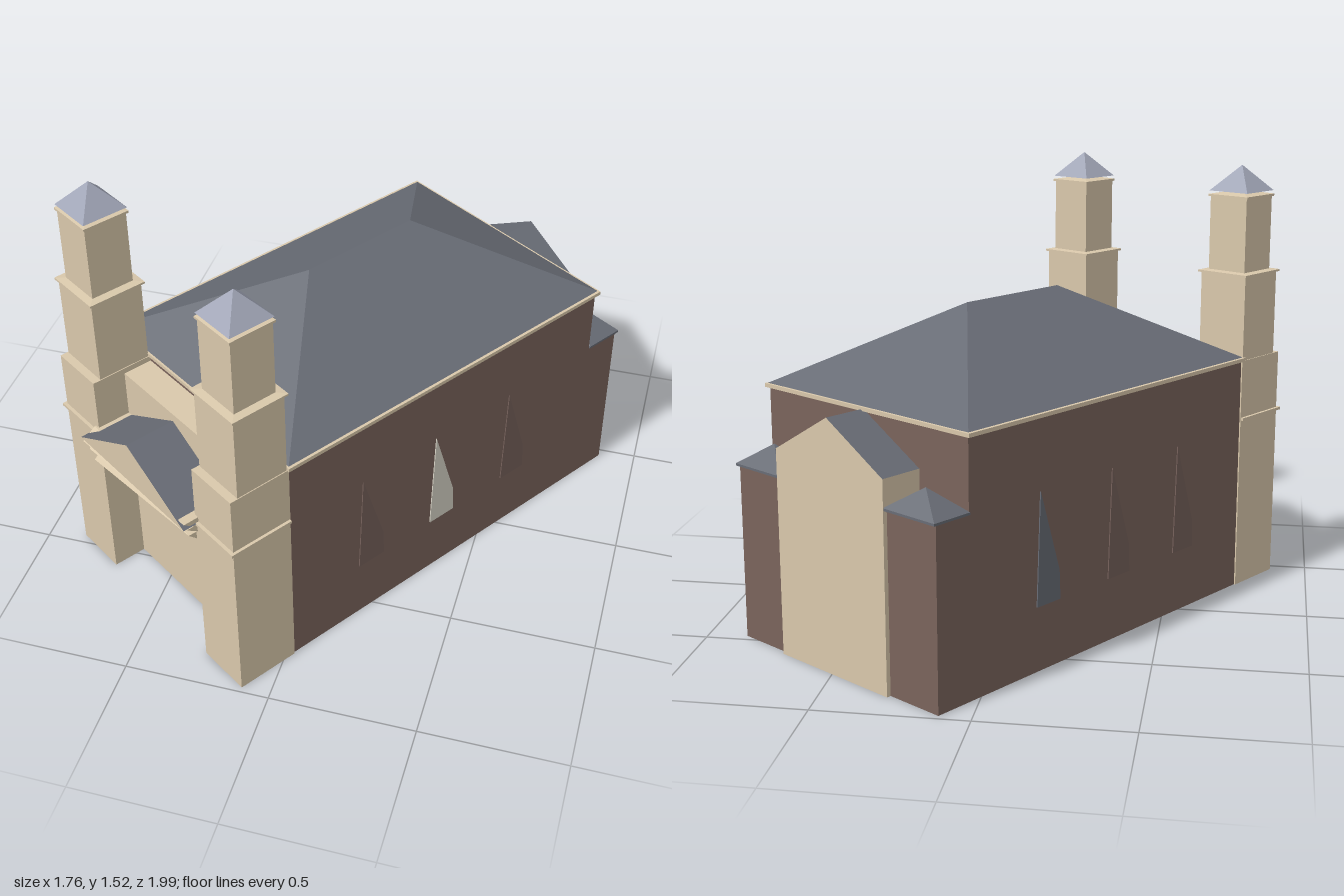
import * as THREE from 'three';

const mat = (name, color) => {
  const m = new THREE.MeshStandardMaterial({ color, flatShading: true });
  m.name = name;
  return m;
};

export function createModel() {
  const stone = mat('pale stone', 0xd9c8ab);
  const brick = mat('brown brick', 0x7a645c);
  const slate = mat('slate', 0x686c75);
  const spireMat = mat('spire metal', 0xa0a5b6);
  const glass = mat('pale glass', 0xd6d2c5);
  const dimGlass = mat('brown glass', 0x75605a);

  // The building stands turned on its plot: local z points to its facade
  const church = new THREE.Group();
  church.name = 'church';
  church.rotation.y = THREE.MathUtils.degToRad(-33.8);

  const add = (name, geo, material, x = 0, y = 0, z = 0) => {
    const m = new THREE.Mesh(geo, material);
    m.name = name;
    m.position.set(x, y, z);
    church.add(m);
    return m;
  };
  // Box given by its limits on each axis
  const block = (name, material, x0, x1, y0, y1, z0, z1) =>
    add(name, new THREE.BoxGeometry(x1 - x0, y1 - y0, z1 - z0), material,
      (x0 + x1) / 2, (y0 + y1) / 2, (z0 + z1) / 2);
  // Four-sided pyramid with its base at y
  const pyramid = (name, material, w, d, h, x, y, z) => {
    const g = new THREE.ConeGeometry(Math.SQRT1_2, 1, 4);
    g.rotateY(Math.PI / 4);
    g.scale(w, h, d);
    return add(name, g, material, x, y + h / 2, z);
  };
  // Triangular roof prism with stone ends and slate slopes
  const gable = (name, halfWidth, y0, y1, z0, z1) => {
    const s = new THREE.Shape([
      new THREE.Vector2(-halfWidth, y0), new THREE.Vector2(halfWidth, y0), new THREE.Vector2(0, y1)]);
    const g = new THREE.ExtrudeGeometry(s, { depth: z1 - z0, bevelEnabled: false });
    return add(name, g, [stone, slate], 0, 0, z0);
  };

  // Nave with eaves and hipped roof
  block('nave', brick, -0.46, 0.46, 0, 0.84, -0.735, 0.645);
  block('eaves', stone, -0.474, 0.474, 0.84, 0.853, -0.746, 0.652);
  const hip = new THREE.BoxGeometry(0.93, 0.265, 1.385);
  const hp = hip.attributes.position;
  for (let i = 0; i < hp.count; i++) {
    if (hp.getY(i) > 0) {
      hp.setX(i, 0);
      hp.setZ(i, Math.sign(hp.getZ(i)) * 0.223);
    }
  }
  hip.computeVertexNormals();
  add('hippedRoof', hip, slate, 0, 0.9865, -0.047);

  // Facade wall between the towers
  block('facade', stone, -0.27, 0.27, 0, 0.82, 0.645, 0.75);

  // Twin bell towers
  for (const s of [-1, 1]) {
    const cx = s * 0.367, cz = 0.746;
    block('towerBase', stone, cx - 0.098, cx + 0.098, 0, 0.84, 0.645, 0.87);
    block('towerBand', stone, cx - 0.108, cx + 0.108, 0.622, 0.632, 0.647, 0.882);
    block('towerMiddle', stone, cx - 0.095, cx + 0.095, 0.84, 1.14, cz - 0.095, cz + 0.095);
    block('middleCornice', stone, cx - 0.104, cx + 0.104, 1.14, 1.147, cz - 0.104, cz + 0.104);
    pyramid('corniceSlope', stone, 0.208, 0.208, 0.012, cx, 1.147, cz);
    block('belfry', stone, cx - 0.077, cx + 0.077, 1.15, 1.41, cz - 0.077, cz + 0.077);
    block('belfryCornice', stone, cx - 0.083, cx + 0.083, 1.41, 1.418, cz - 0.083, cz + 0.083);
    pyramid('belfryCap', stone, 0.166, 0.166, 0.014, cx, 1.418, cz);
    pyramid('spire', spireMat, 0.162, 0.162, 0.09, cx, 1.43, cz);
  }

  // Entrance canopy: three twisted mouldings under a pediment
  const tiers = [[0.525, 0.575, 0.27, 0.90], [0.575, 0.612, 0.278, 0.91], [0.612, 0.65, 0.286, 0.925]];
  for (const [y0, y1, half, front] of tiers) {
    const g = new THREE.BoxGeometry(half * 2, y1 - y0, front - 0.75);
    const p = g.attributes.position;
    for (let i = 0; i < p.count; i++) {
      // lower right and upper left front corners are drawn back
      if (p.getZ(i) > 0 && p.getX(i) * p.getY(i) < 0) p.setZ(i, p.getZ(i) - 0.05);
    }
    g.computeVertexNormals();
    add('canopyMoulding', g, stone, 0, (y0 + y1) / 2, (front + 0.75) / 2);
  }
  gable('canopyRoof', 0.29, 0.63, 0.79, 0.75, 0.93);

  // Chancel at the back, with its gabled roof
  block('chancel', stone, -0.25, 0.25, 0, 0.7, -0.887, -0.735);
  gable('chancelRoof', 0.25, 0.7, 0.845, -0.887, -0.735);

  // Low corner rooms beside the chancel
  for (const s of [-1, 1]) {
    const [x0, x1] = s > 0 ? [0.25, 0.46] : [-0.46, -0.25];
    block('cornerRoom', brick, x0, x1, 0, 0.6, -0.872, -0.735);
    block('cornerRoomEaves', slate, x0 - 0.006, x1 + 0.006, 0.6, 0.608, -0.884, -0.735);
    pyramid('cornerRoomRoof', slate, 0.222, 0.149, 0.072, s * 0.355, 0.608, -0.8095);
  }

  // Pointed side windows, apex above the left edge
  const pane = new THREE.Shape([
    new THREE.Vector2(-0.015, 0.22), new THREE.Vector2(0.095, 0.22),
    new THREE.Vector2(0.09, 0.32), new THREE.Vector2(0, 0.6)]);
  const paneGeo = new THREE.ExtrudeGeometry(pane, { depth: 0.004, bevelEnabled: false });
  const windows = [
    [1, 0.34, dimGlass], [1, 0.015, glass], [1, -0.33, dimGlass],
    [-1, -0.42, slate], [-1, -0.07, dimGlass], [-1, 0.28, dimGlass]];
  for (const [s, z, m] of windows) {
    add('sideWindow', paneGeo, m, s * 0.46, 0, z).rotation.y = s * Math.PI / 2;
  }

  const model = new THREE.Group();
  model.name = 'twinTowerChurch';
  model.add(church);
  return model;
}
